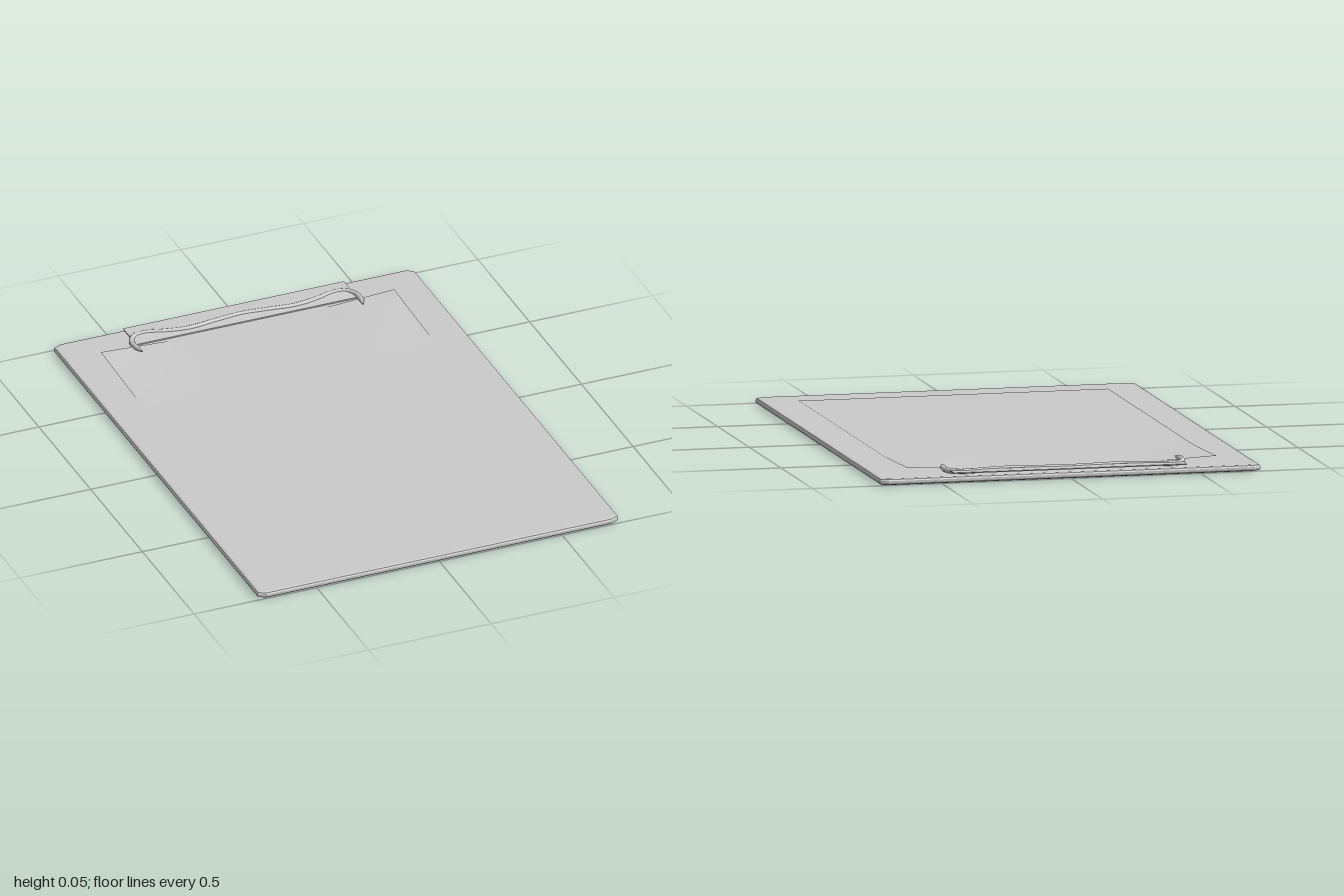
import * as THREE from 'three';

const material = () => new THREE.MeshStandardMaterial({ color: 0xcccccc, side: THREE.DoubleSide });

function addMesh(group, name, geometry) {
  const mesh = new THREE.Mesh(geometry, material());
  mesh.name = name;
  group.add(mesh);
}

// Flat slab with clipped corners and bevelled rims
function boardGeometry() {
  const bevel = 0.012, bevelHeight = 0.008, height = 0.024, cut = 0.022;
  const w = 0.735 - bevel, d = 1 - bevel;
  const shape = new THREE.Shape();
  shape.moveTo(-w + cut, -d).lineTo(w - cut, -d).lineTo(w, -d + cut / 2);
  shape.lineTo(w, d - cut / 2).lineTo(w - cut, d).lineTo(-w + cut, d);
  shape.lineTo(-w, d - cut / 2).lineTo(-w, -d + cut / 2).closePath();
  const geo = new THREE.ExtrudeGeometry(shape, {
    depth: height - 2 * bevelHeight, bevelThickness: bevelHeight,
    bevelSize: bevel, bevelSegments: 2,
  });
  return geo.translate(0, 0, bevelHeight).rotateX(-Math.PI / 2);
}

// Sheet whose two clipped-end corners curl up
function paperGeometry() {
  const back = -0.855, front = 0.865;
  const geo = new THREE.PlaneGeometry(1.196, front - back, 32, 40);
  geo.rotateX(-Math.PI / 2).translate(0, 0, (front + back) / 2);
  const p = geo.attributes.position;
  for (let i = 0; i < p.count; i++) {
    const side = THREE.MathUtils.clamp((Math.abs(p.getX(i)) - 0.3) / 0.298, 0, 1);
    const end = THREE.MathUtils.clamp(1 - (p.getZ(i) - back) / 0.4, 0, 1);
    p.setY(i, 0.0255 + 0.0155 * side * Math.pow(end, 1.3));
  }
  geo.computeVertexNormals();
  return geo;
}

// Thin plate, raised at the back and pressing down at the front
function plateGeometry() {
  const profile = new THREE.Shape();
  profile.moveTo(-0.99, 0.033).lineTo(-0.99, 0.037).lineTo(-0.93, 0.037);
  profile.lineTo(-0.87, 0.032).lineTo(-0.87, 0.027).lineTo(-0.93, 0.033).closePath();
  const geo = new THREE.ExtrudeGeometry(profile, { depth: 0.9, bevelEnabled: false });
  return geo.rotateY(-Math.PI / 2).translate(0.45, 0, 0);
}

// Wavy wire with hooked ends that taper to points
function wireGeometry() {
  const half = [
    [0.449, 0.038, -0.803], [0.459, 0.036, -0.85], [0.456, 0.034, -0.895],
    [0.43, 0.032, -0.93], [0.38, 0.032, -0.936], [0.31, 0.032, -0.918],
    [0.22, 0.032, -0.904], [0.1, 0.032, -0.916],
  ].map((v) => new THREE.Vector3(...v));
  const mirrored = half.map((v) => new THREE.Vector3(-v.x, v.y, v.z)).reverse();
  const path = new THREE.CatmullRomCurve3([...half, new THREE.Vector3(0, 0.032, -0.925), ...mirrored]);
  const steps = 120, sides = 10;
  const geo = new THREE.TubeGeometry(path, steps, 0.0105, sides);
  const p = geo.attributes.position, v = new THREE.Vector3();
  for (let i = 0; i <= steps; i++) {
    const centre = path.getPointAt(i / steps);
    const scale = Math.min(1, 0.1 + Math.min(i, steps - i) / 4);
    for (let j = 0; j <= sides; j++) {
      const k = i * (sides + 1) + j;
      v.fromBufferAttribute(p, k).sub(centre).multiplyScalar(scale).add(centre);
      p.setXYZ(k, v.x, v.y, v.z);
    }
  }
  return geo;
}

export function createModel() {
  const group = new THREE.Group();
  group.name = 'clipboard';
  addMesh(group, 'board', boardGeometry());
  addMesh(group, 'paper', paperGeometry());

  const clip = new THREE.Group();
  clip.name = 'clip';
  addMesh(clip, 'clipPlate', plateGeometry());
  addMesh(clip, 'clipWire', wireGeometry());
  group.add(clip);
  return group;
}
